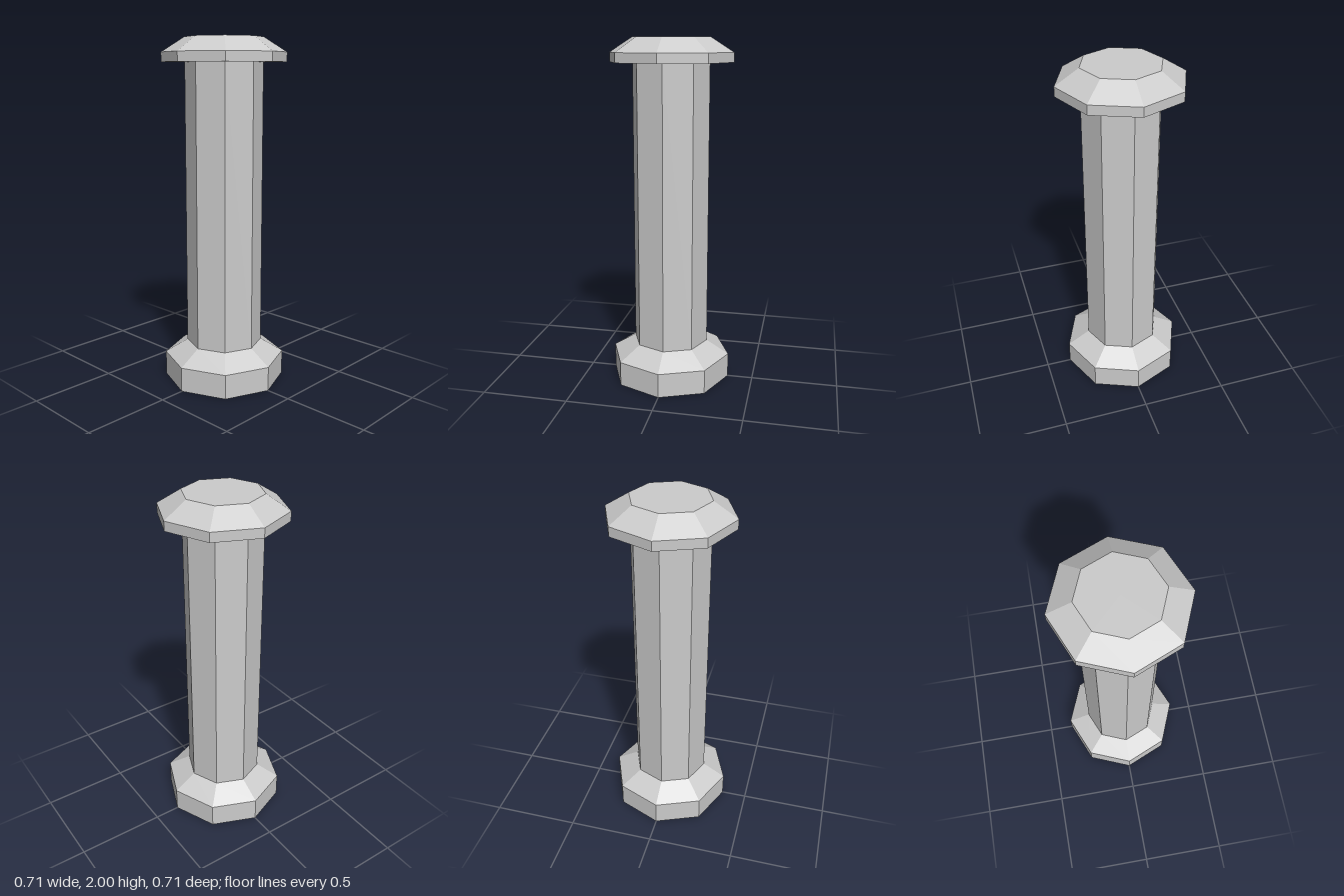
import * as THREE from 'three';

const SIDES = 8;
const WIDE = 0.353;
const NARROW = 0.221;

export function createModel() {
  const group = new THREE.Group();
  const material = new THREE.MeshStandardMaterial({ color: 0xcccccc, flatShading: true });

  // Octagonal solid of revolution from [radius, height] points, bottom to top
  const addPart = (name, profile) => {
    const points = profile.map(([r, y]) => new THREE.Vector2(r, y));
    const mesh = new THREE.Mesh(new THREE.LatheGeometry(points, SIDES), material);
    mesh.name = name;
    group.add(mesh);
  };

  // Plinth with a bevel sloping in to the shaft
  addPart('base', [[0, 0], [WIDE, 0], [WIDE, 0.143], [NARROW, 0.222]]);

  // Straight shaft, open where it meets the base and the cap
  addPart('shaft', [[NARROW, 0.222], [NARROW, 1.863]]);

  // Overhanging cap with a bevelled, flat top
  addPart('cap', [[NARROW, 1.863], [WIDE, 1.863], [WIDE, 1.917], [NARROW, 2], [0, 2]]);

  return group;
}
